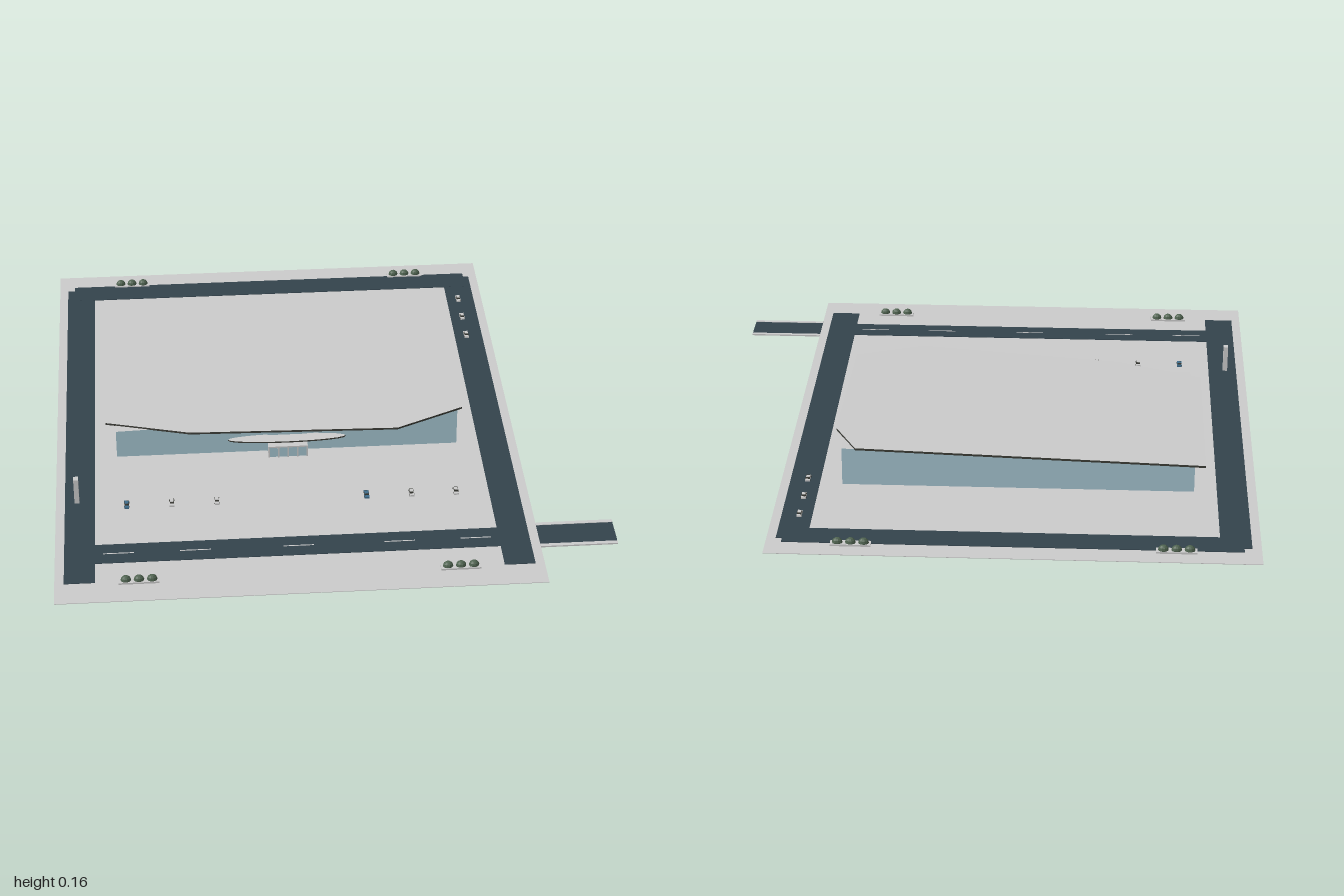
import * as THREE from 'three';

const mat = (color, side = THREE.FrontSide) =>
  new THREE.MeshStandardMaterial({ color, side, flatShading: true });
const GREY = mat(0xcccccc), ROAD = mat(0x33434c), GLASS = mat(0xa3c2cd), DARK = mat(0x3b3c36),
  GREEN = mat(0x4f6350), WHITE = mat(0xe8ebea), BLUE = mat(0x3f6d8c);

// Box given by its limits on each axis
function block(parent, name, material, [x0, x1], [y0, y1], [z0, z1]) {
  const g = new THREE.BoxGeometry(x1 - x0, y1 - y0, z1 - z0);
  const m = new THREE.Mesh(g, material);
  m.position.set((x0 + x1) / 2, (y0 + y1) / 2, (z0 + z1) / 2);
  m.name = name;
  parent.add(m);
  return m;
}

// Plane of the tilted roof
const roofY = (x, z) => 0.131 + 0.0325 * x + 0.013 * z;

// Prism over a plan outline of [x, z] points
function prism(name, outline, height, materials) {
  const shape = new THREE.Shape(outline.map(([x, z]) => new THREE.Vector2(x, -z)));
  const g = new THREE.ExtrudeGeometry(shape, { depth: height, bevelEnabled: false });
  g.rotateX(-Math.PI / 2);
  const m = new THREE.Mesh(g, materials);
  m.name = name;
  return m;
}

// Move each vertex of a prism by a height rule
function reshape(mesh, rule) {
  const p = mesh.geometry.attributes.position;
  for (let i = 0; i < p.count; i++) p.setY(i, rule(p.getX(i), p.getY(i), p.getZ(i)));
  mesh.geometry.computeVertexNormals();
  return mesh;
}

function makeCar(x, z, material) {
  const car = new THREE.Group();
  car.name = 'car';
  block(car, 'carBody', material, [-0.008, 0.008], [0.002, 0.008], [-0.02, 0.02]);
  block(car, 'carCabin', DARK, [-0.007, 0.007], [0.008, 0.013], [-0.011, 0.009]);
  block(car, 'carRoof', material, [-0.006, 0.006], [0.013, 0.014], [-0.008, 0.006]);
  for (const sx of [-1, 1]) for (const sz of [-1, 1]) {
    const wheel = new THREE.Mesh(new THREE.CylinderGeometry(0.003, 0.003, 0.002, 10), DARK);
    wheel.name = 'wheel';
    wheel.rotation.z = Math.PI / 2;
    wheel.position.set(sx * 0.008, 0.005, sz * 0.012);
    car.add(wheel);
  }
  car.position.set(x, 0.001, z);
  return car;
}

function makePlanter(x, z) {
  const planter = new THREE.Group();
  planter.name = 'planter';
  block(planter, 'planterBed', GREY, [-0.065, 0.065], [0, 0.007], [-0.015, 0.015]);
  for (const dx of [-0.042, 0, 0.042]) {
    const bush = new THREE.Mesh(new THREE.SphereGeometry(0.017, 10, 6), GREEN);
    bush.name = 'bush';
    bush.scale.set(1, 0.95, 0.8);
    bush.position.set(dx, 0.009, 0);
    planter.add(bush);
  }
  planter.position.set(x, 0.001, z);
  return planter;
}

export function createModel() {
  const model = new THREE.Group();
  model.name = 'showroomSite';

  // Ground, ring road and side road
  block(model, 'ground', GREY, [-0.915, 0.66], [0, 0.002], [-1, 1]);
  const road = new THREE.Group();
  road.name = 'roads';
  model.add(road);
  const top = [0.0005, 0.0035];
  block(road, 'leftRoad', ROAD, [-0.885, -0.785], top, [-0.9, 0.9]);
  block(road, 'rightRoad', ROAD, [0.53, 0.63], top, [-0.9, 0.9]);
  block(road, 'backRoad', ROAD, [-0.86, 0.61], [0.0005, 0.0037], [-0.925, -0.83]);
  block(road, 'frontRoad', ROAD, [-0.785, 0.53], top, [0.7, 0.8]);
  block(road, 'sideRoad', ROAD, [0.66, 0.913], [0, 0.0035], [0.698, 0.8]);
  for (const z of [[0.684, 0.698], [0.8, 0.814]])
    block(road, 'sidewalk', GREY, [0.66, 0.913], [0, 0.005], z);
  for (const x of [-0.71, -0.46, -0.125, 0.205, 0.455])
    block(road, 'laneMark', WHITE, [x - 0.05, x + 0.05], [0.003, 0.0042], [0.748, 0.752]);

  // Hall with a top that follows the roof
  const hall = new THREE.Group();
  hall.name = 'hall';
  model.add(hall);
  const plan = [[-0.71, 0.2], [0.455, 0.2], [0.455, -0.515], [-0.71, -0.515]];
  hall.add(reshape(prism('walls', plan, 1, [GREY, GLASS]),
    (x, y, z) => (y > 0.5 ? roofY(x, z) - 0.006 : 0.0005)));

  // Thin overhanging roof with a dark underside
  const outline = [[-0.745, 0.15], [-0.46, 0.245], [0.24, 0.3], [0.47, 0.2],
    [0.485, -0.38], [0.41, -0.52], [-0.745, -0.52]];
  const tilt = (lift) => (x, y, z) => roofY(x, z) + y - lift;
  hall.add(reshape(prism('roofTop', outline, 0.002, [GREY, DARK]), tilt(0.002)));
  hall.add(reshape(prism('roofUnderside', outline, 0.005, DARK), tilt(0.0072)));

  // Entrance: portal panel, lobby with posts, lens-shaped canopy
  const entrance = new THREE.Group();
  entrance.name = 'entrance';
  model.add(entrance);
  block(entrance, 'portalPanel', GLASS, [-0.195, -0.06], [0.002, 0.119], [0.2, 0.204]);
  block(entrance, 'lobby', GLASS, [-0.192, -0.063], [0.002, 0.042], [0.204, 0.24]);
  block(entrance, 'lobbyRoof', WHITE, [-0.195, -0.06], [0.042, 0.047], [0.204, 0.245]);
  for (let i = 0; i < 5; i++) {
    const x = -0.195 + i * 0.0325;
    block(entrance, 'doorPost', WHITE, [x, x + 0.005], [0.002, 0.042], [0.238, 0.244]);
  }
  const lens = [];
  for (let i = 0; i < 24; i++) {
    const a = (i / 24) * Math.PI * 2;
    lens.push([-0.13 + 0.2 * Math.cos(a), 0.222 - 0.024 * Math.sin(a)]);
  }
  const canopy = prism('canopy', lens, 0.005, [GREY, DARK]);
  canopy.position.y = 0.063;
  entrance.add(canopy);

  // Free-standing pylon by the left road
  block(model, 'pylon', GREY, [-0.853, -0.837], [0.002, 0.097], [0.443, 0.465]);

  // Parked cars and planters
  const paints = [BLUE, WHITE, GREY];
  [-0.68, -0.53, -0.38].forEach((x, i) => {
    model.add(makeCar(x, 0.487, paints[i]), makeCar(x + 0.8, 0.487, paints[i]));
    model.add(makeCar(0.572, -0.738 + i * 0.126, WHITE));
  });
  for (const x of [-0.645, 0.388]) model.add(makePlanter(x, 0.9), makePlanter(x, -0.93));

  return model;
}
